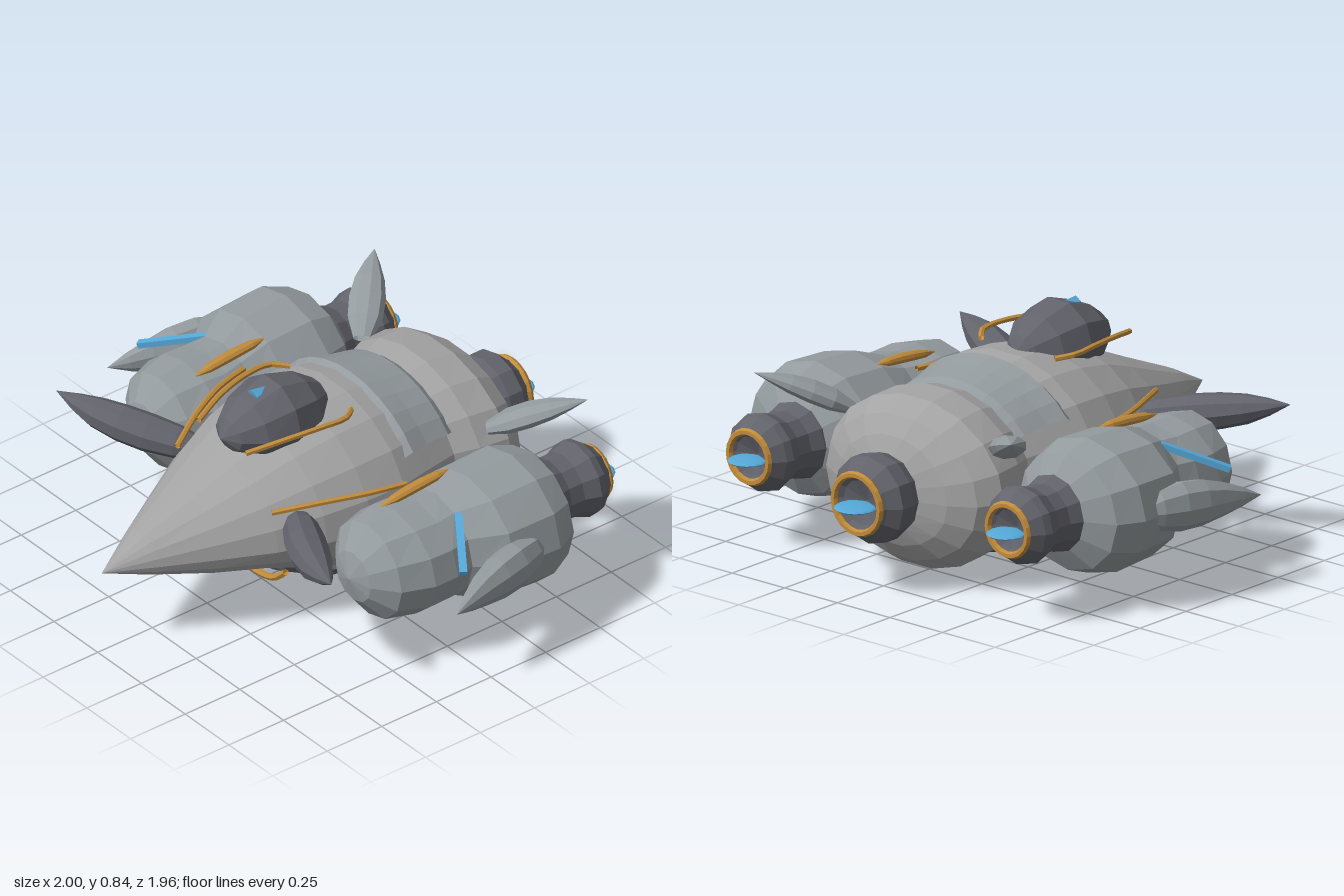
import * as THREE from 'three';

const paint = (color) => new THREE.MeshStandardMaterial({ color, flatShading: true, side: THREE.DoubleSide });
const HULL = paint(0xa3a3a3), POD = paint(0x949b9e), DARK = paint(0x62636b), GOLD = paint(0xc18c3c), BLUE = paint(0x55a9d9);

const V = (x, y, z) => new THREE.Vector3(x, y, z);

// Skin over rings { c, s, u, rx, top, bottom }: centre, side and up axes, radii
function skin(rings, sides, from = 0, to = Math.PI * 2) {
  const pos = [], index = [], row = sides + 1;
  for (const r of rings) {
    for (let j = 0; j <= sides; j++) {
      const a = from + (to - from) * j / sides, sn = Math.sin(a);
      const p = r.c.clone().addScaledVector(r.s, Math.cos(a) * r.rx).addScaledVector(r.u, sn * (sn > 0 ? r.top : r.bottom));
      pos.push(p.x, p.y, p.z);
    }
  }
  for (let i = 0; i < rings.length - 1; i++) {
    for (let j = 0; j < sides; j++) {
      const a = i * row + j, b = a + row;
      index.push(a, b, b + 1, a, b + 1, a + 1);
    }
  }
  const g = new THREE.BufferGeometry();
  g.setAttribute('position', new THREE.Float32BufferAttribute(pos, 3));
  g.setIndex(index);
  g.computeVertexNormals();
  return g;
}

// Rings across z, front to back: [z, centre x, centre y, half width, height above, depth below]
const zRings = (list) => list.map(([z, x, y, rx, top, bottom = top]) =>
  ({ c: V(x, y, z), s: V(1, 0, 0), u: V(0, 1, 0), rx, top, bottom }));

// Curved horn swept along points with a swelling profile
function horn(points, radii, wide, tall) {
  const curve = new THREE.CatmullRomCurve3(points), steps = radii.length - 1;
  return skin(radii.map((r, i) => {
    const t = curve.getTangent(i / steps);
    const s = t.clone().cross(V(0, 1, 0)).normalize();
    return { c: curve.getPoint(i / steps), s, u: s.clone().cross(t), rx: r * wide, top: r * tall, bottom: r * tall };
  }), 9);
}

const pipe = (points, r) => new THREE.TubeGeometry(new THREE.CatmullRomCurve3(points), 14, r, 6);

export function createModel() {
  const model = new THREE.Group();
  const add = (name, geometry, material, parent = model) => {
    const m = new THREE.Mesh(geometry, material);
    m.name = name;
    parent.add(m);
    return m;
  };

  // Hull with pointed nose and waisted back
  add('hull', skin(zRings([
    [0.98, 0, 0.34, 0.001, 0.001, 0.001],
    [0.8, 0, 0.345, 0.105, 0.09, 0.07],
    [0.6, 0, 0.35, 0.215, 0.17, 0.13],
    [0.42, 0, 0.355, 0.31, 0.245, 0.165],
    [0.25, 0, 0.36, 0.38, 0.31, 0.235],
    [0.08, 0, 0.36, 0.42, 0.35, 0.295],
    [-0.08, 0, 0.36, 0.43, 0.36, 0.325],
    [-0.2, 0, 0.36, 0.4, 0.34, 0.32],
    [-0.36, 0, 0.36, 0.36, 0.3, 0.29],
    [-0.45, 0, 0.36, 0.4, 0.325, 0.32],
    [-0.57, 0, 0.36, 0.415, 0.315, 0.325],
    [-0.65, 0, 0.355, 0.36, 0.27, 0.27],
    [-0.7, 0, 0.35, 0.26, 0.21, 0.2],
    [-0.73, 0, 0.35, 0.15, 0.14, 0.14],
    [-0.735, 0, 0.35, 0.001, 0.001, 0.001],
  ]), 18), HULL);

  // Raised saddle across the waist
  add('saddlePlate', skin(zRings([
    [-0.13, 0, 0.36, 0.42, 0.335],
    [-0.16, 0, 0.36, 0.43, 0.363],
    [-0.24, 0, 0.36, 0.4, 0.345],
    [-0.35, 0, 0.36, 0.385, 0.322],
    [-0.385, 0, 0.36, 0.36, 0.295],
  ]), 10, 0.6, Math.PI - 0.6), POD);

  // Dark belly armour
  add('bellyPlate', skin(zRings([
    [0.32, 0, 0.17, 0.001, 0.001],
    [0.26, 0, 0.14, 0.15, 0.04, 0.06],
    [0.12, 0, 0.12, 0.25, 0.05, 0.09],
    [-0.06, 0, 0.12, 0.28, 0.05, 0.115],
    [-0.24, 0, 0.12, 0.25, 0.05, 0.1],
    [-0.4, 0, 0.12, 0.17, 0.05, 0.075],
    [-0.46, 0, 0.12, 0.001, 0.001],
  ]), 12), DARK);

  // Canopy and its small light
  add('canopy', skin(zRings([
    [0.44, 0, 0.69, 0.001, 0.001],
    [0.4, 0, 0.69, 0.075, 0.065, 0.06],
    [0.32, 0, 0.69, 0.135, 0.12, 0.1],
    [0.2, 0, 0.69, 0.165, 0.16, 0.1],
    [0.08, 0, 0.69, 0.135, 0.125, 0.1],
    [0, 0, 0.69, 0.075, 0.07, 0.06],
    [-0.04, 0, 0.69, 0.001, 0.001],
  ]), 10), DARK);
  const light = add('canopyLight', new THREE.ConeGeometry(0.03, 0.09, 5), BLUE);
  light.rotation.x = -Math.PI / 2 + 0.2;
  light.position.set(0, 0.82, 0.245);
  light.scale.z = 0.8;

  // Chin pipe under the nose
  add('chinPipe', pipe([V(-0.2, 0.16, 0.3), V(-0.13, 0.1, 0.3), V(0, 0.078, 0.3), V(0.13, 0.1, 0.3), V(0.2, 0.16, 0.3)], 0.013), GOLD);

  // Engine: dark bell, gold ring and flat glowing disc
  function engine(name, x, y, profile, ringZ, ringR, glowR) {
    const g = new THREE.Group();
    g.name = name;
    model.add(g);
    add('bell', skin(zRings(profile.map(([z, r]) => [z, x, y, r, r])), 12), DARK, g);
    add('ring', new THREE.TorusGeometry(ringR, 0.014, 6, 20), GOLD, g).position.set(x, y, ringZ);
    const glow = add('glow', new THREE.SphereGeometry(glowR, 14, 8), BLUE, g);
    glow.scale.y = 0.15;
    glow.position.set(x, y - 0.01, ringZ - 0.01);
  }
  engine('centreEngine', 0, 0.35,
    [[-0.68, 0.14], [-0.73, 0.15], [-0.77, 0.165], [-0.83, 0.165], [-0.87, 0.125], [-0.89, 0.11], [-0.87, 0.085], [-0.84, 0.001]], -0.892, 0.109, 0.078);

  for (const s of [1, -1]) {
    const side = s > 0 ? 'left' : 'right';
    const P = (x, y, z) => V(s * x, y, z);

    // Side pod
    add(side + 'Pod', skin(zRings([
      [0.335, s * 0.6, 0.36, 0.001, 0.001],
      [0.31, s * 0.6, 0.36, 0.1, 0.1],
      [0.24, s * 0.6, 0.36, 0.19, 0.19],
      [0.12, s * 0.605, 0.36, 0.232, 0.205],
      [0.02, s * 0.605, 0.36, 0.232, 0.2],
      [-0.06, s * 0.61, 0.36, 0.21, 0.205],
      [-0.18, s * 0.64, 0.36, 0.275, 0.245],
      [-0.38, s * 0.645, 0.36, 0.28, 0.255],
      [-0.48, s * 0.64, 0.36, 0.235, 0.22],
      [-0.53, s * 0.62, 0.36, 0.14, 0.14],
      [-0.535, s * 0.62, 0.36, 0.001, 0.001],
    ]), 12), POD);

    engine(side + 'Engine', s * 0.615, 0.36,
      [[-0.48, 0.15], [-0.53, 0.145], [-0.58, 0.125], [-0.64, 0.125], [-0.7, 0.148], [-0.73, 0.14], [-0.78, 0.1], [-0.76, 0.075], [-0.73, 0.001]], -0.776, 0.094, 0.072);

    // Horns: front, pod side and rear
    add(side + 'FrontHorn', horn([P(0.25, 0.44, 0.29), P(0.45, 0.465, 0.41), P(0.63, 0.495, 0.5), P(0.785, 0.53, 0.56)],
      [0.03, 0.062, 0.072, 0.07, 0.058, 0.034, 0.001], 1.05, 0.95), DARK);
    add(side + 'PodHorn', horn([P(0.86, 0.365, -0.36), P(0.91, 0.365, -0.18), P(0.95, 0.355, 0), P(1, 0.342, 0.155)],
      [0.02, 0.07, 0.085, 0.08, 0.06, 0.035, 0.001], 0.8, 1.1), POD);
    add(side + 'RearHorn', horn([P(0.36, 0.53, -0.5), P(0.45, 0.59, -0.59), P(0.54, 0.64, -0.68), P(0.61, 0.675, -0.755)],
      [0.035, 0.065, 0.068, 0.055, 0.03, 0.001], 1, 0.6), POD);

    // Gold pipes and the rail on the pod
    add(side + 'CanopyPipe', pipe([P(0.175, 0.715, -0.02), P(0.218, 0.725, 0.04), P(0.215, 0.73, 0.15), P(0.185, 0.72, 0.29), P(0.135, 0.695, 0.43)], 0.011), GOLD);
    add(side + 'HullPipe', pipe([P(0.465, 0.54, -0.04), P(0.43, 0.54, 0.1), P(0.36, 0.53, 0.26), P(0.27, 0.505, 0.42)], 0.011), GOLD);
    add(side + 'PodRail', horn([P(0.53, 0.575, -0.19), P(0.53, 0.565, -0.03), P(0.53, 0.545, 0.13)],
      [0.004, 0.02, 0.023, 0.023, 0.02, 0.004], 1, 0.8), GOLD);

    // Blue blade over the pod
    const a = P(0.64, 0.56, -0.13), b = P(0.93, 0.445, 0.07);
    const blade = add(side + 'Blade', new THREE.BoxGeometry(0.028, 0.022, a.distanceTo(b)), BLUE);
    blade.position.copy(a).lerp(b, 0.5);
    blade.lookAt(b);
  }
  return model;
}
